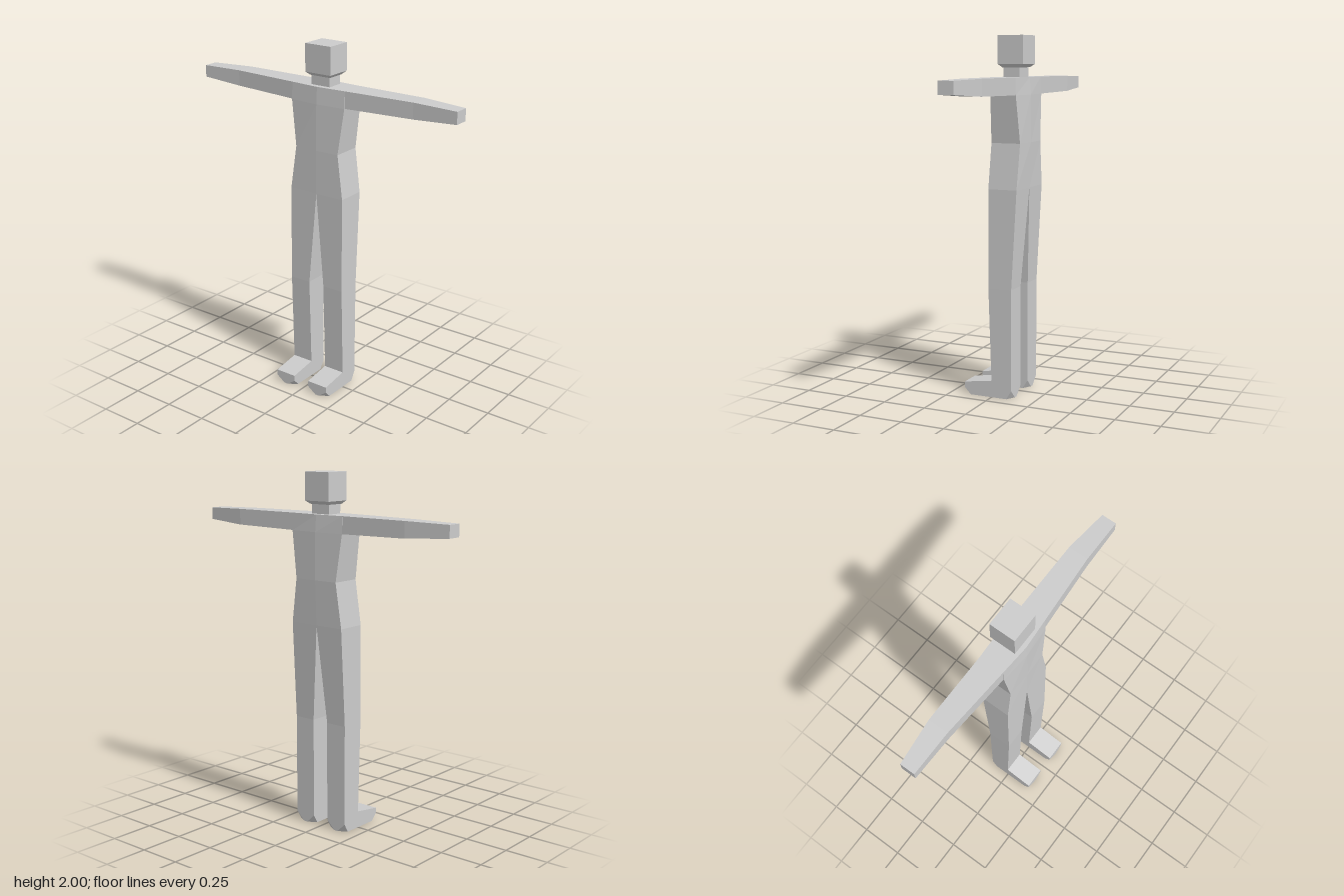
import * as THREE from 'three';
import { ConvexGeometry } from 'three/addons/geometries/ConvexGeometry.js';

const material = new THREE.MeshStandardMaterial({ color: 0xcccccc, flatShading: true });

// Skin a row of matching cross-sections; corners run counterclockwise about the path.
function loft(sections, { start = false, end = false, flip = false } = {}) {
  const n = sections[0].length;
  const positions = [];
  const tri = (a, b, c) => positions.push(...a, ...(flip ? c : b), ...(flip ? b : c));
  for (let s = 0; s < sections.length - 1; s++) {
    const low = sections[s], high = sections[s + 1];
    for (let i = 0; i < n; i++) {
      const j = (i + 1) % n;
      tri(low[i], low[j], high[j]);
      tri(low[i], high[j], high[i]);
    }
  }
  const first = sections[0], last = sections[sections.length - 1];
  for (let i = 1; i < n - 1; i++) {
    if (start) tri(first[0], first[i + 1], first[i]);
    if (end) tri(last[0], last[i], last[i + 1]);
  }
  const geometry = new THREE.BufferGeometry();
  geometry.setAttribute('position', new THREE.Float32BufferAttribute(positions, 3));
  geometry.computeVertexNormals();
  return geometry;
}

// Horizontal rectangle centred on x = 0
const slab = (y, w, front, back) => [[w, y, front], [w, y, back], [-w, y, back], [-w, y, front]];

export function createModel() {
  const model = new THREE.Group();
  const add = (name, geometry) => {
    const mesh = new THREE.Mesh(geometry, material);
    mesh.name = name;
    model.add(mesh);
  };

  // Torso: y, half width, side front/back z, centre front/back z
  const torso = [
    [1.17, 0.175, 0.018, -0.15, 0.02, -0.15],
    [1.42, 0.14, 0.015, -0.155, 0.02, -0.16],
    [1.68, 0.175, 0.005, -0.145, 0.018, -0.158],
    [1.775, 0.175, 0.0, -0.142, 0.012, -0.15],
  ].map(([y, w, f, b, cf, cb]) =>
    [[w, y, f], [w, y, b], [0, y, cb], [-w, y, b], [-w, y, f], [0, y, cf]]);
  add('torso', loft(torso, { end: true }));

  // Neck and head, the head narrowing at the jaw
  add('neck', loft([slab(1.77, 0.06, -0.02, -0.115), slab(1.83, 0.06, -0.02, -0.115)]));
  add('head', loft([
    slab(1.827, 0.065, -0.015, -0.122),
    slab(1.845, 0.083, 0.005, -0.145),
    slab(2, 0.083, 0.005, -0.145),
  ], { start: true, end: true }));

  for (const side of [1, -1]) {
    const label = side > 0 ? 'left' : 'right';
    const flip = side < 0;

    // Arm: x, bottom, top, front, back
    const arm = [
      [0.175, 1.68, 1.775, 0.0, -0.142],
      [0.58, 1.685, 1.774, -0.028, -0.142],
      [0.835, 1.7, 1.768, -0.03, -0.115],
    ].map(([x, y0, y1, f, b]) =>
      [[x * side, y1, b], [x * side, y1, f], [x * side, y0, f], [x * side, y0, b]]);
    add(label + 'Arm', loft(arm, { end: true, flip }));

    // Leg: y, inner x, outer x, front, back
    const leg = [
      [0.095, 0.05, 0.177, 0.0, -0.12],
      [0.62, 0.05, 0.177, 0.018, -0.12],
      [1.17, 0, 0.175, 0.018, -0.15],
    ].map(([y, x0, x1, f, b]) =>
      [[x1 * side, y, f], [x1 * side, y, b], [x0 * side, y, b], [x0 * side, y, f]]);
    add(label + 'Leg', loft(leg, { flip }));

    // Foot: block with its lower corners cut off at toe and heel
    const foot = [];
    for (const e of [-1, 1]) {
      const edge = (0.1135 + e * 0.0635) * side;
      const middle = (0.1135 + e * 0.012) * side;
      foot.push(
        [edge, 0.095, 0], [edge, 0.095, -0.12],
        [edge, 0.07, 0.165], [edge, 0.037, 0.165], [edge, 0.05, -0.12],
        [edge, 0, 0.13], [edge, 0, -0.09],
        [middle, 0, 0.165], [middle, 0, -0.12],
      );
    }
    add(label + 'Foot', new ConvexGeometry(foot.map((p) => new THREE.Vector3(...p))));
  }
  return model;
}
